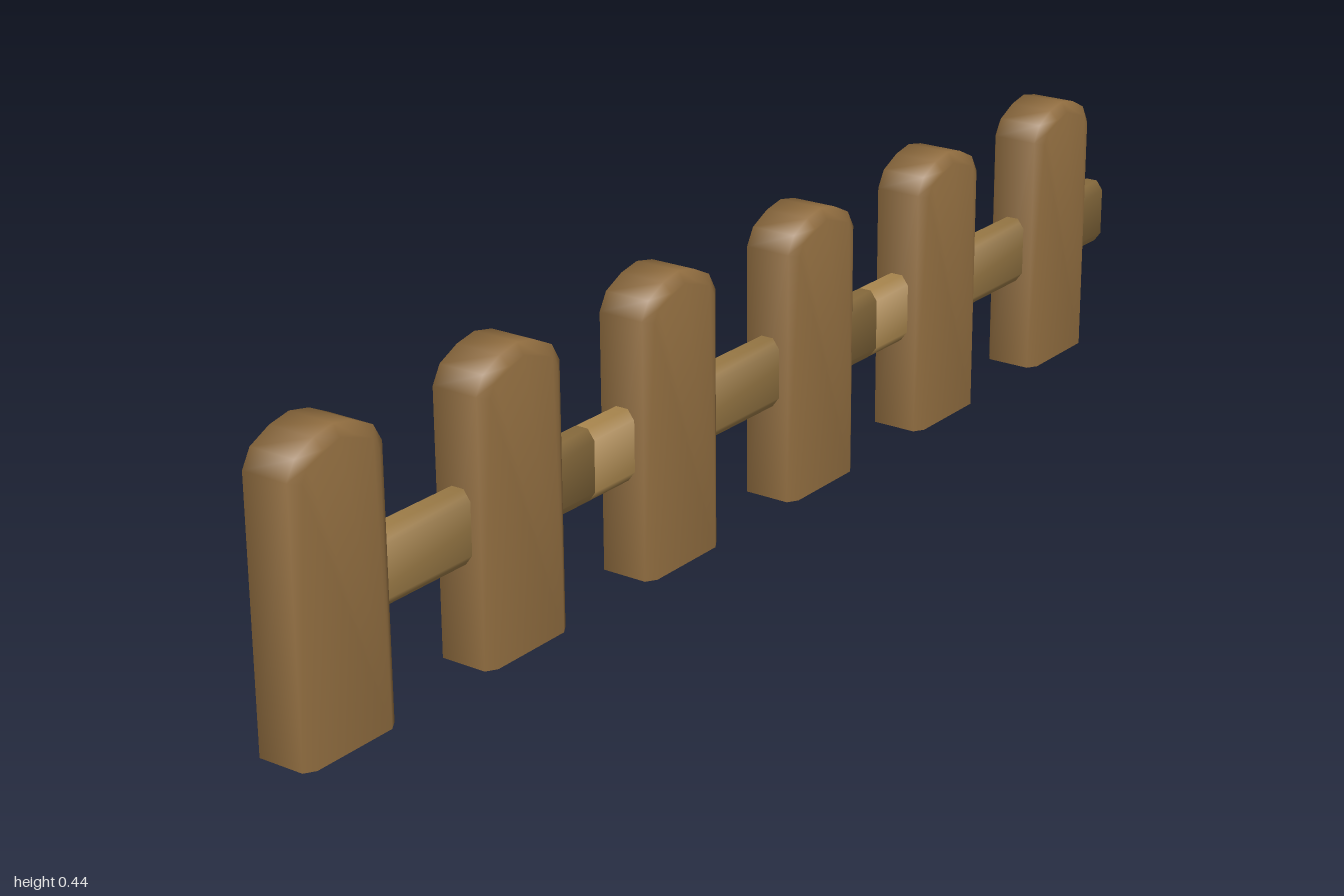
import * as THREE from 'three';
import { toCreasedNormals } from 'three/addons/utils/BufferGeometryUtils.js';

// Arched post: chamfered slab whose foot is cut flat at y = 0
function postGeometry() {
  const bevel = 0.016, edge = 0.01, depth = 0.072;
  const half = [[0.085, -bevel], [0.085, 0.385], [0.07, 0.411], [0.035, 0.428]];
  const points = [
    ...half.map(([x, y]) => new THREE.Vector2(x, y)),
    new THREE.Vector2(0, 0.435),
    ...half.map(([x, y]) => new THREE.Vector2(-x, y)).reverse(),
  ];
  const geometry = new THREE.ExtrudeGeometry(new THREE.Shape(points), {
    depth, bevelEnabled: true, bevelSegments: 1,
    bevelSize: bevel, bevelOffset: -bevel, bevelThickness: edge,
  });
  geometry.translate(0, 0, -depth / 2);
  const pos = geometry.attributes.position;
  for (let i = 0; i < pos.count; i++) pos.setY(i, Math.max(0, pos.getY(i)));
  return toCreasedNormals(geometry, 1.15);
}

// Rail: flattened octagon swept along x, with soft ends
function railGeometry(length) {
  const h = 0.053, d = 0.021, ch = 0.015, cd = 0.011;
  const corners = [
    [d, -h + ch], [d, h - ch], [d - cd, h], [-d + cd, h],
    [-d, h - ch], [-d, -h + ch], [-d + cd, -h], [d - cd, -h],
  ].map(([z, y]) => new THREE.Vector2(z, y));
  const geometry = new THREE.ExtrudeGeometry(new THREE.Shape(corners), {
    depth: length, bevelEnabled: false,
  });
  geometry.translate(0, 0, -length / 2);
  geometry.rotateY(Math.PI / 2);
  return toCreasedNormals(geometry, Math.PI);
}

export function createModel() {
  const group = new THREE.Group();
  const postWood = new THREE.MeshStandardMaterial({ color: 0x8f6c3f });
  const railWood = new THREE.MeshStandardMaterial({ color: 0xae8a50 });

  // Six evenly spaced posts
  const postShape = postGeometry();
  for (let i = 0; i < 6; i++) {
    const post = new THREE.Mesh(postShape, postWood);
    post.name = `post${i + 1}`;
    post.position.x = -0.915 + i * 0.348;
    group.add(post);
  }

  // Three rails butted end to end; the first starts inside the end post
  const joints = [-0.95, -0.393, 0.304, 1];
  for (let i = 0; i < 3; i++) {
    const rail = new THREE.Mesh(railGeometry(joints[i + 1] - joints[i]), railWood);
    rail.name = `rail${i + 1}`;
    rail.position.set((joints[i] + joints[i + 1]) / 2, 0.2, 0);
    group.add(rail);
  }
  return group;
}
